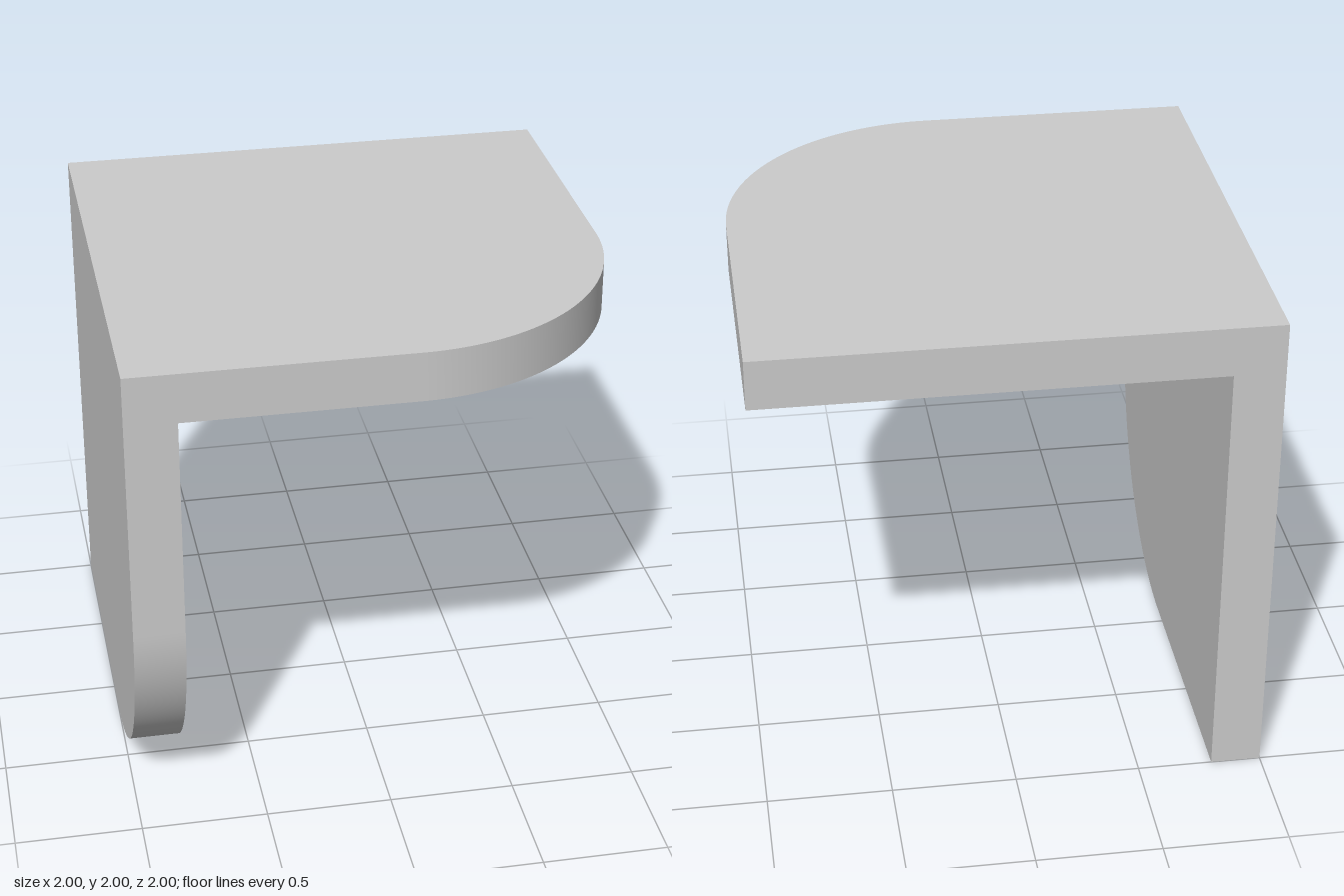
import * as THREE from 'three';
import { toCreasedNormals } from 'three/addons/utils/BufferGeometryUtils.js';

const THICKNESS = 0.2;
const RADIUS = 0.9;

// Flat panel spanning u -1..1 and v vMin..1, with the (1, 1) corner rounded
function panel(name, vMin, matrix) {
  const shape = new THREE.Shape();
  shape.moveTo(-1, vMin);
  shape.lineTo(1, vMin);
  shape.lineTo(1, 1 - RADIUS);
  shape.absarc(1 - RADIUS, 1 - RADIUS, RADIUS, 0, Math.PI / 2, false);
  shape.lineTo(-1, 1);
  shape.closePath();
  const extruded = new THREE.ExtrudeGeometry(shape, {
    depth: THICKNESS, bevelEnabled: false, curveSegments: 32,
  });
  extruded.applyMatrix4(matrix);
  const mesh = new THREE.Mesh(
    toCreasedNormals(extruded, Math.PI / 6),
    new THREE.MeshStandardMaterial({ color: 0xcccccc }),
  );
  mesh.name = name;
  return mesh;
}

export function createModel() {
  const X = new THREE.Vector3(1, 0, 0);
  const Z = new THREE.Vector3(0, 0, 1);
  const down = new THREE.Vector3(0, -1, 0);

  const group = new THREE.Group();
  group.name = 'angleBracket';

  // Horizontal plate, rounded at the outer front corner
  const plateFrame = new THREE.Matrix4().makeBasis(X, Z, down).setPosition(0, 2, 0);
  group.add(panel('topPlate', -1, plateFrame));

  // Vertical plate under it, rounded at the lower front corner
  const wallFrame = new THREE.Matrix4().makeBasis(Z, down, X).setPosition(-1, 1, 0);
  group.add(panel('sidePlate', -1 + THICKNESS, wallFrame));

  return group;
}
